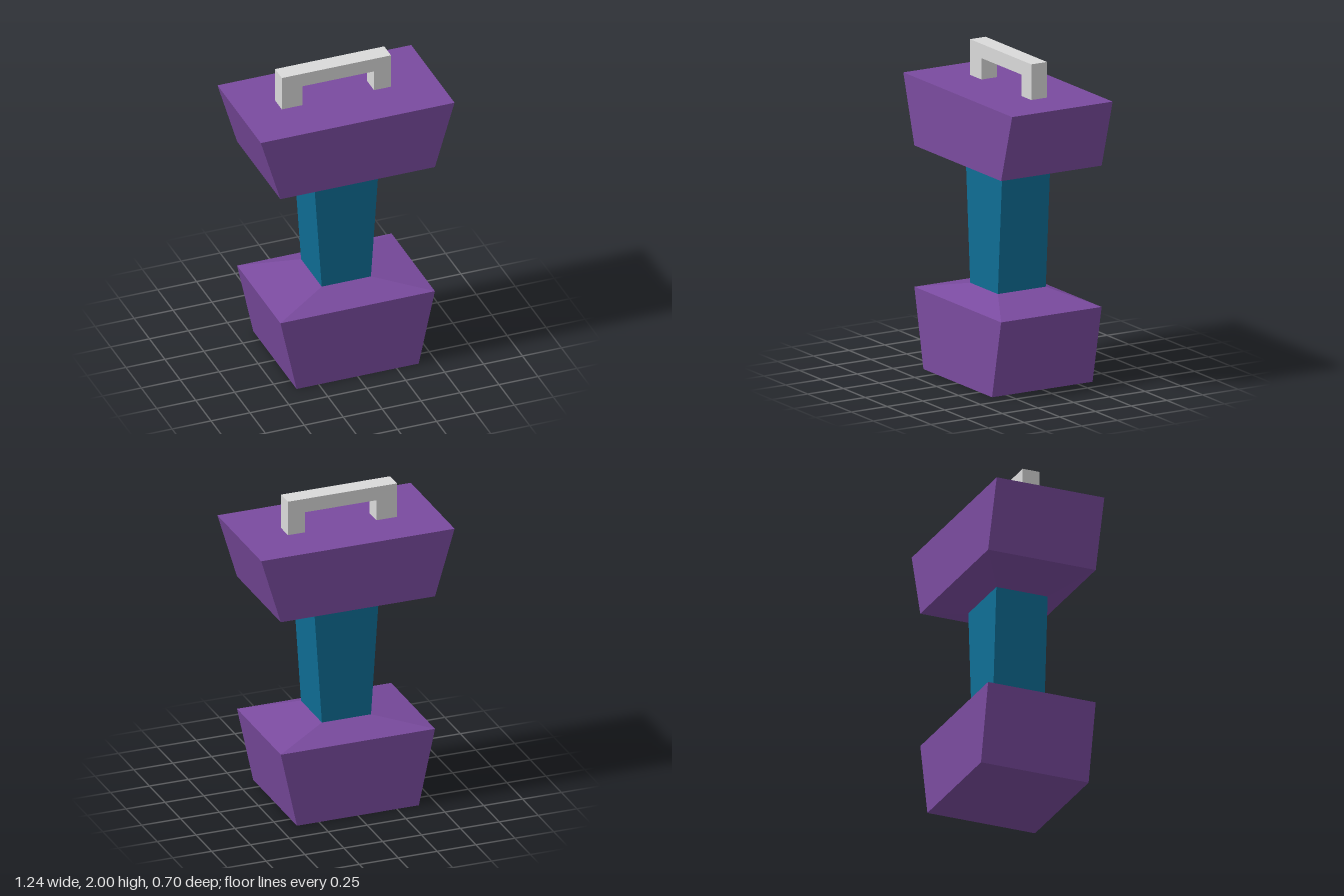
import * as THREE from 'three';

// Stack of rectangular rings [y, halfX, halfZ], flat faced and capped at both ends
function loft(rings) {
  const corners = [[-1, 1], [1, 1], [1, -1], [-1, -1]];
  const rows = rings.map(([y, hx, hz]) => corners.map(([sx, sz]) => [sx * hx, y, sz * hz]));
  const pos = [];
  const quad = (a, b, c, d) => pos.push(...a, ...b, ...c, ...a, ...c, ...d);
  for (let i = 0; i < rows.length - 1; i++) {
    for (let j = 0; j < 4; j++) {
      const k = (j + 1) % 4;
      quad(rows[i][j], rows[i][k], rows[i + 1][k], rows[i + 1][j]);
    }
  }
  quad(...rows[rows.length - 1]);
  quad(...[...rows[0]].reverse());
  const geo = new THREE.BufferGeometry();
  geo.setAttribute('position', new THREE.Float32BufferAttribute(pos, 3));
  geo.computeVertexNormals();
  return geo;
}

export function createModel() {
  const group = new THREE.Group();
  const material = (name, color) => {
    const m = new THREE.MeshStandardMaterial({ color });
    m.name = name;
    return m;
  };
  const purple = material('purple', 0x7a4b9f);
  const blue = material('blue', 0x0f6e95);
  const grey = material('light grey', 0xdadada);

  const add = (name, geo, mat) => {
    const mesh = new THREE.Mesh(geo, mat);
    mesh.name = name;
    group.add(mesh);
    return mesh;
  };

  // Flared lower block with a sloping shoulder
  add('lowerBlock', loft([[0, 0.392, 0.352], [0.485, 0.496, 0.352], [0.56, 0.158, 0.168]]), purple);

  // Tapered middle column
  add('column', loft([[0.56, 0.158, 0.168], [1.27, 0.205, 0.168]]), blue);

  // Flared upper block with a sloping underside
  add('upperBlock', loft([[1.27, 0.205, 0.168], [1.357, 0.496, 0.352], [1.78, 0.622, 0.352]]), purple);

  // Carrying handle: an upside-down U, slightly off centre
  const outline = [[-0.365, 1.78], [-0.233, 1.78], [-0.233, 1.912], [0.227, 1.912],
    [0.227, 1.78], [0.336, 1.78], [0.336, 2], [-0.365, 2]];
  const shape = new THREE.Shape(outline.map(([x, y]) => new THREE.Vector2(x, y)));
  const handle = add('handle', new THREE.ExtrudeGeometry(shape, { depth: 0.11, bevelEnabled: false }), grey);
  handle.position.z = -0.067;

  return group;
}
